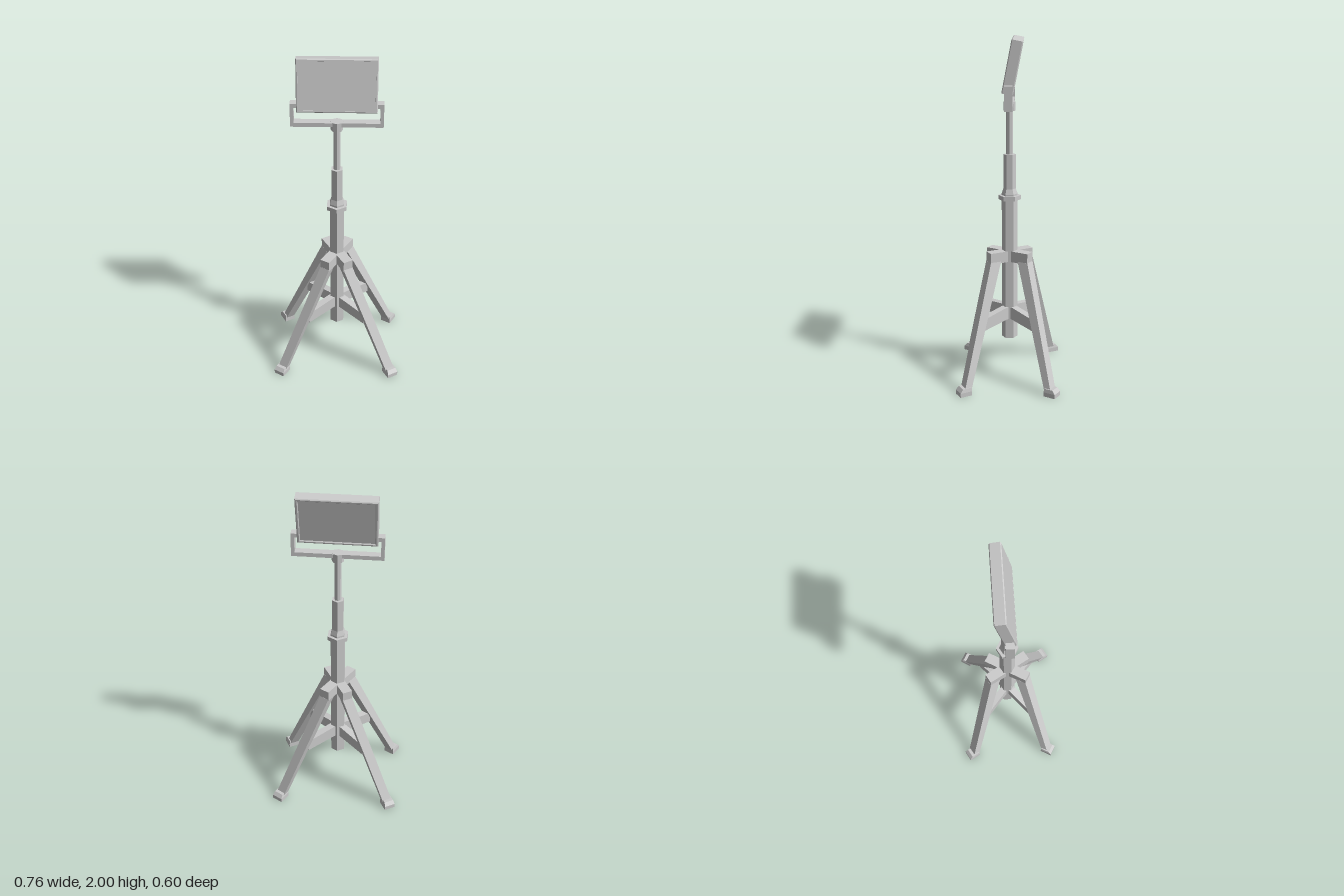
import * as THREE from 'three';

const mat = new THREE.MeshStandardMaterial({ color: 0xcccccc, flatShading: true });

function part(name, geometry, parent) {
  const mesh = new THREE.Mesh(geometry, mat);
  mesh.name = name;
  parent.add(mesh);
  return mesh;
}

// Closed solid through four-cornered rings; faces are turned outward whatever the mirroring.
function loft(rings) {
  const n = rings.length, v = rings.flat(), tris = [];
  const quad = (a, b, c, d) => tris.push([a, b, c], [a, c, d]);
  for (let r = 0; r < n - 1; r++) {
    for (let i = 0; i < 4; i++) {
      const j = (i + 1) % 4, k = r * 4;
      quad(k + i, k + j, k + 4 + j, k + 4 + i);
    }
  }
  quad(3, 2, 1, 0);
  const e = (n - 1) * 4;
  quad(e, e + 1, e + 2, e + 3);
  const mid = v.reduce((s, p) => s.add(p), new THREE.Vector3()).divideScalar(v.length);
  let volume = 0;
  for (const [a, b, c] of tris) {
    const [p, q, r] = [a, b, c].map((i) => v[i].clone().sub(mid));
    volume += p.dot(q.cross(r));
  }
  const order = volume < 0 ? tris.map((t) => [t[0], t[2], t[1]]) : tris;
  const g = new THREE.BufferGeometry().setFromPoints(order.flat().map((i) => v[i]));
  g.computeVertexNormals();
  return g;
}

const rect = (w, h, Kind = THREE.Shape) => {
  const s = new Kind();
  s.moveTo(-w / 2, -h / 2);
  s.lineTo(w / 2, -h / 2);
  s.lineTo(w / 2, h / 2);
  s.lineTo(-w / 2, h / 2);
  s.closePath();
  return s;
};

const lathe = (points, sides) =>
  new THREE.LatheGeometry(points.map(([r, y]) => new THREE.Vector2(r, y)), sides);

// One leg in the +x +z quarter, mirrored by sx and sz
function makeLeg(sx, sz) {
  const leg = new THREE.Group();
  leg.name = 'leg';
  const c = 0.5, s = 0.866; // every section is turned 60 degrees from x
  const ring = (x, y, z, hw, hd) =>
    [[-1, -1], [1, -1], [1, 1], [-1, 1]].map(([a, b]) => new THREE.Vector3(
      sx * (x + a * hw * s + b * hd * c), y, sz * (z - a * hw * c + b * hd * s)));

  part('hubArm', loft([
    ring(0.0345, 0.705, 0.06, 0.03, 0.069),
    ring(0.0345, 0.77, 0.06, 0.03, 0.069),
  ]), leg);
  part('strut', loft([
    ring(0.053, 0.715, 0.0915, 0.03, 0.033),
    ring(0.325, 0.03, 0.24, 0.028, 0.021),
  ]), leg);
  part('foot', loft([
    ring(0.334, 0, 0.252, 0.033, 0.036),
    ring(0.334, 0.025, 0.252, 0.033, 0.036),
    ring(0.33, 0.046, 0.245, 0.029, 0.027),
  ]), leg);

  // Brace slopes gently down from the column to the strut
  const d = new THREE.Vector2(0.19, 0.165).normalize();
  const brace = (r, low, high) =>
    [[-1, low], [1, low], [1, high], [-1, high]].map(([a, y]) => new THREE.Vector3(
      sx * (d.x * r - a * d.y * 0.021), y, sz * (d.y * r + a * d.x * 0.021)));
  part('brace', loft([
    brace(0, 0.35, 0.425), brace(0.05, 0.35, 0.425), brace(0.235, 0.333, 0.402),
  ]), leg);
  return leg;
}

export function createModel() {
  const model = new THREE.Group();
  model.name = 'tripodFloodlight';

  for (const sx of [1, -1]) for (const sz of [1, -1]) model.add(makeLeg(sx, sz));

  // Telescoping six-sided column
  part('column', lathe([[0, 0.23], [0.046, 0.23], [0.046, 1.08], [0, 1.08]], 6), model);
  part('collar', lathe([[0, 1.075], [0.065, 1.075], [0.065, 1.1], [0, 1.1]], 6), model);
  part('middleTube', lathe(
    [[0, 1.09], [0.046, 1.09], [0.046, 1.11], [0.036, 1.14], [0.036, 1.34], [0, 1.34]], 6), model);
  part('upperTube', lathe([[0, 1.33], [0.02, 1.33], [0.02, 1.6], [0, 1.6]], 8), model);
  part('swivel', lathe([[0, 1.59], [0.034, 1.59], [0.034, 1.642], [0, 1.642]], 8), model);

  // U bracket with inward tabs at the tips
  const half = [[0.253, 1.617], [0.253, 1.755], [0.214, 1.755], [0.214, 1.732],
    [0.234, 1.732], [0.234, 1.641]];
  const outline = [...half, ...half.map(([x, y]) => [-x, y]).reverse()];
  const bracket = new THREE.ExtrudeGeometry(
    new THREE.Shape(outline.map(([x, y]) => new THREE.Vector2(x, y))),
    { depth: 0.046, bevelEnabled: false });
  part('bracket', bracket.translate(0, 0, -0.023), model);

  // Lamp head, leaning back
  const lamp = new THREE.Group();
  lamp.name = 'lampHead';
  lamp.position.set(0, 1.85, -0.02);
  lamp.rotation.x = -0.19;
  model.add(lamp);
  const b = 0.005;
  const frame = rect(0.436 - 2 * b, 0.294 - 2 * b);
  frame.holes.push(rect(0.412, 0.27, THREE.Path));
  const housing = new THREE.ExtrudeGeometry(frame, {
    depth: 0.064 - 2 * b, bevelThickness: b, bevelSize: b, bevelSegments: 1,
  });
  part('lampFrame', housing.translate(0, 0, -0.032 + b), lamp);
  const panel = new THREE.BoxGeometry(0.415, 0.273, 0.058);
  part('lampPanel', panel.translate(0, 0, 0.0025), lamp);

  return model;
}
